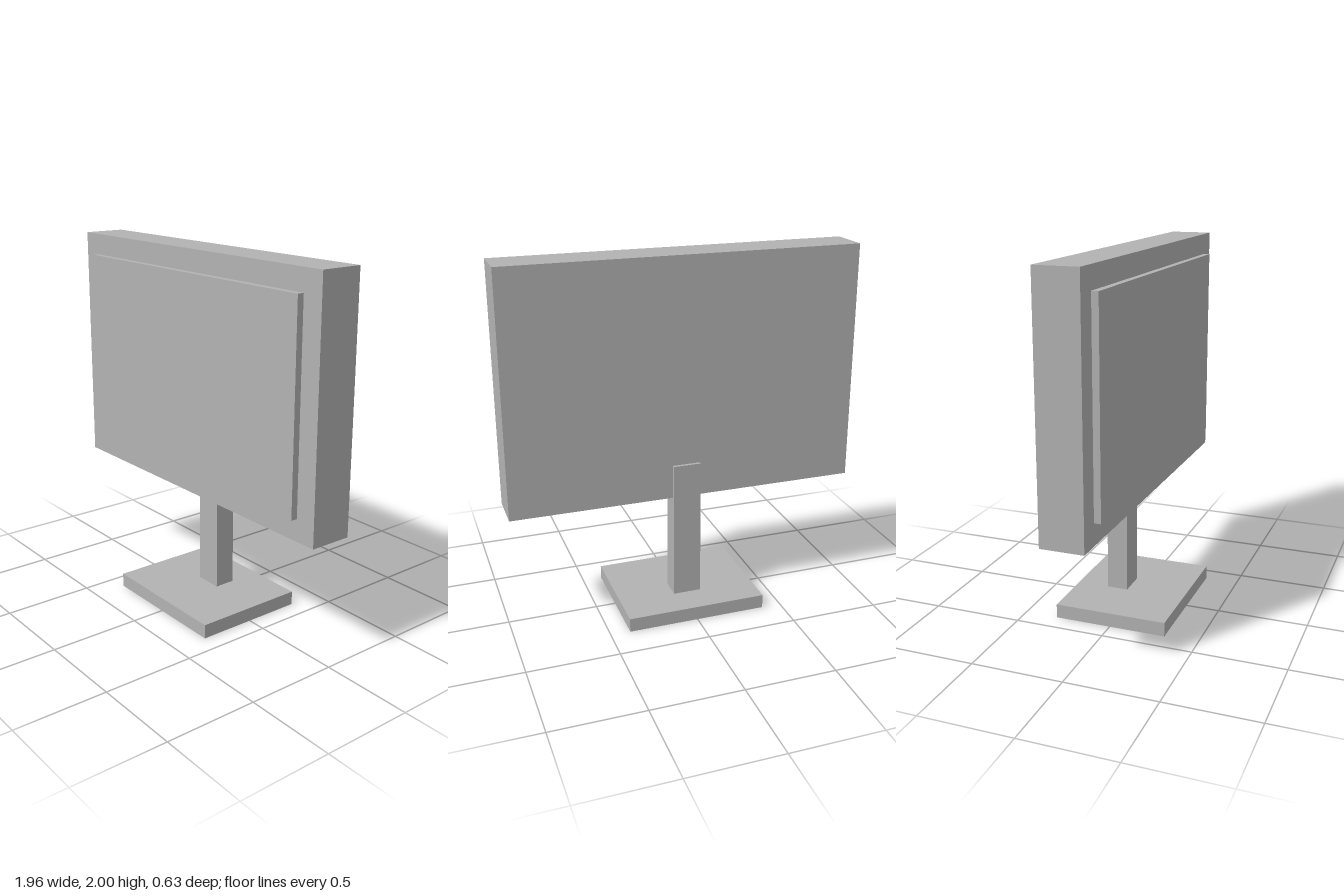
import * as THREE from 'three';

export function createModel() {
  const model = new THREE.Group();
  model.name = 'monitor';

  const grey = new THREE.MeshStandardMaterial({ color: 0xb2b2b2 });
  grey.name = 'light grey';

  // Box centred on x, given by its width and its y and z limits
  function addBox(name, width, y0, y1, z0, z1) {
    const mesh = new THREE.Mesh(new THREE.BoxGeometry(width, y1 - y0, z1 - z0), grey);
    mesh.position.set(0, (y0 + y1) / 2, (z0 + z1) / 2);
    mesh.name = name;
    model.add(mesh);
  }

  // Stand: flat foot and a post that rises behind the housing
  addBox('base', 0.782, 0, 0.078, -0.313, 0.313);
  addBox('post', 0.156, 0.078, 0.86, -0.135, -0.018);

  // Display: thick housing with a raised screen panel
  addBox('housing', 1.955, 0.67, 2, -0.117, 0.117);
  addBox('screen', 1.72, 0.788, 1.883, 0.117, 0.153);

  return model;
}
